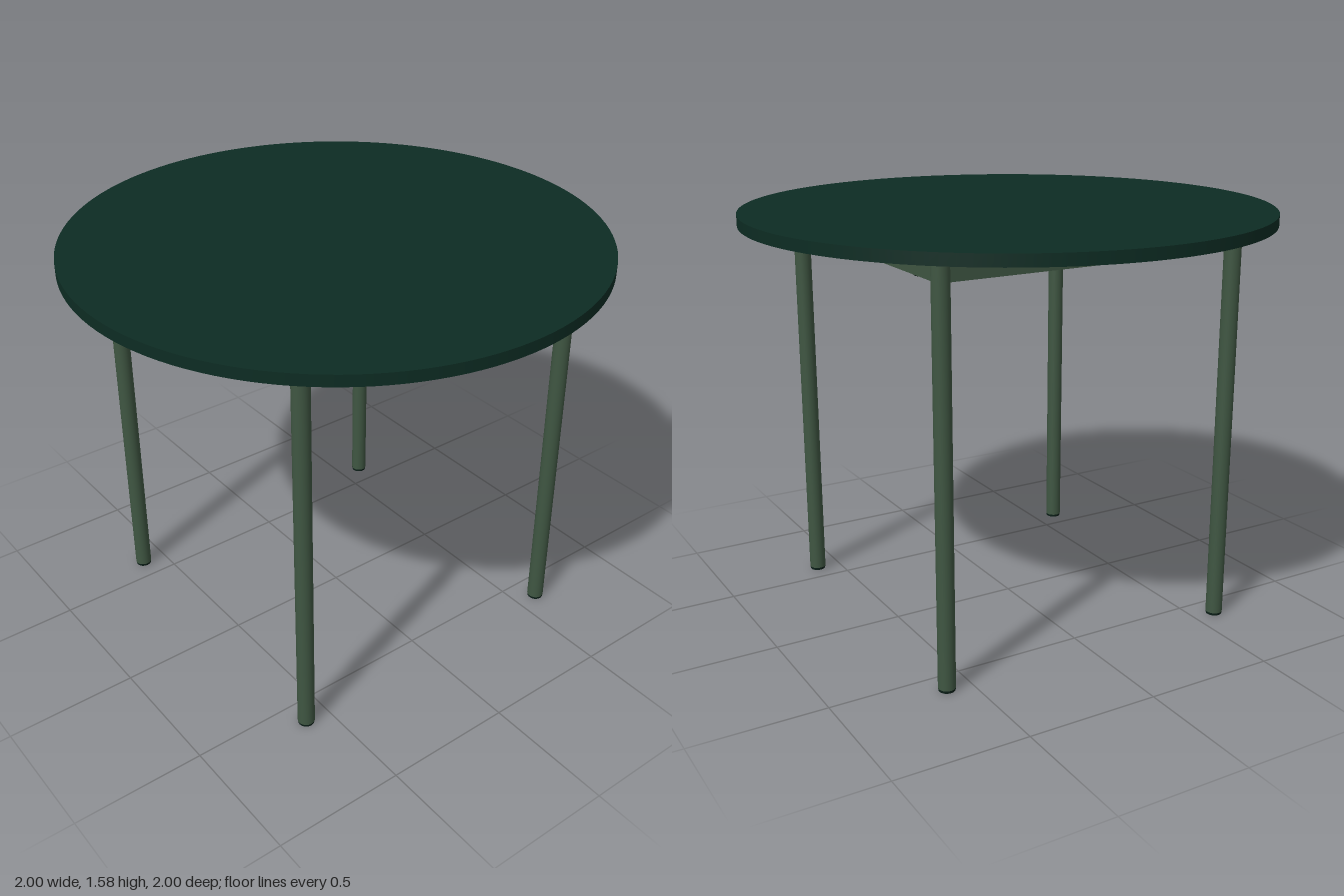
import * as THREE from 'three';

const mat = (name, color) => {
  const m = new THREE.MeshStandardMaterial({ color });
  m.name = name;
  return m;
};

export function createModel() {
  const table = new THREE.Group();
  table.name = 'roundTable';
  const topGreen = mat('dark green top', 0x0d2c23);
  const frameGreen = mat('sage green frame', 0x3f5642);
  const footDark = mat('dark foot', 0x0c211a);

  const add = (parent, name, geometry, material, x = 0, y = 0, z = 0) => {
    const mesh = new THREE.Mesh(geometry, material);
    mesh.name = name;
    mesh.position.set(x, y, z);
    parent.add(mesh);
    return mesh;
  };

  const TOP = 1.575, UNDER = 1.532, RAIL_BOTTOM = 1.45, LEG = 0.595, R = 0.032;

  // Thin round top
  add(table, 'tableTop', new THREE.CylinderGeometry(1, 1, TOP - UNDER, 128), topGreen, 0, (TOP + UNDER) / 2, 0);

  // Round legs with glides, and a small brace with screws in each corner
  const legGeo = new THREE.CylinderGeometry(R, R, UNDER - 0.01, 32);
  const footGeo = new THREE.CylinderGeometry(R, R * 0.94, 0.01, 32);
  const braceGeo = new THREE.BoxGeometry(0.085, 0.045, 0.012);
  const screwGeo = new THREE.CylinderGeometry(0.01, 0.01, 0.012, 12);
  const boltGeo = new THREE.SphereGeometry(0.016, 16, 8, 0, Math.PI * 2, Math.PI / 2, Math.PI / 2);
  boltGeo.scale(1, 0.5, 1);
  for (const sx of [-1, 1]) {
    for (const sz of [-1, 1]) {
      const corner = new THREE.Group();
      corner.name = `${sz > 0 ? 'front' : 'back'}${sx > 0 ? 'Left' : 'Right'}Leg`;
      table.add(corner);
      add(corner, 'leg', legGeo, frameGreen, sx * LEG, (UNDER + 0.01) / 2, sz * LEG);
      add(corner, 'foot', footGeo, footDark, sx * LEG, 0.005, sz * LEG);
      add(corner, 'railBolt', boltGeo, footDark, sx * LEG, RAIL_BOTTOM, sz * 0.435);

      const brace = new THREE.Group();
      brace.name = 'cornerBrace';
      brace.position.set(sx * 0.55, 1.5, sz * 0.55);
      brace.rotation.y = Math.atan2(-sx, -sz);
      corner.add(brace);
      add(brace, 'bracePlate', braceGeo, frameGreen);
      for (const x of [-0.02, 0.02]) {
        add(brace, 'screw', screwGeo, footDark, x, 0, 0.008).rotation.x = Math.PI / 2;
      }
    }
  }

  // Four rails under the top
  const railGeo = new THREE.BoxGeometry(2 * LEG - 0.04, UNDER - RAIL_BOTTOM, 0.038);
  ['frontRail', 'leftRail', 'backRail', 'rightRail'].forEach((name, i) => {
    const a = i * Math.PI / 2;
    const rail = add(table, name, railGeo, frameGreen, Math.sin(a) * LEG, (UNDER + RAIL_BOTTOM) / 2, Math.cos(a) * LEG);
    rail.rotation.y = a;
  });

  return table;
}
